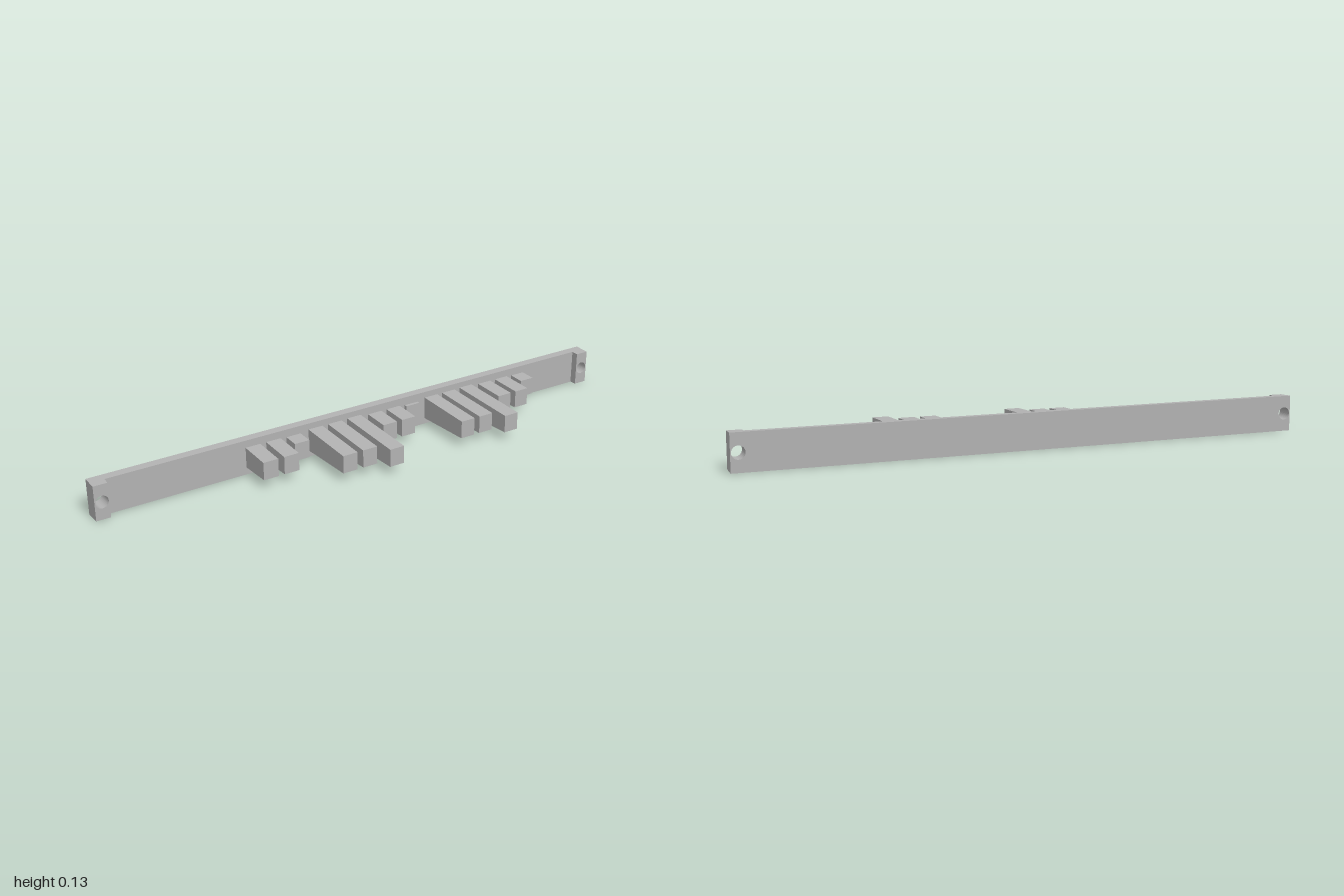
import * as THREE from 'three';

const BACK = -0.149, PLATE_FRONT = -0.118, LUG_FRONT = -0.092;
const MID_Y = 0.064, SLOPE = 0.038;

export function createModel() {
  const group = new THREE.Group();
  const grey = new THREE.MeshStandardMaterial({ color: 0xb2b2b2 });
  grey.name = 'plain grey';

  const add = (name, geometry) => {
    geometry.computeVertexNormals();
    const mesh = new THREE.Mesh(geometry, grey);
    mesh.name = name;
    group.add(mesh);
  };

  // Slab in the xy plane with screw holes; top and bottom draw in towards the front
  const drilledSlab = (x0, x1, z0, z1, holes) => {
    const h = 0.063;
    const shape = new THREE.Shape([[x0, -h], [x1, -h], [x1, h], [x0, h]].map(p => new THREE.Vector2(...p)));
    for (const x of holes) {
      const hole = new THREE.Path();
      hole.absarc(x, 0, 0.022, 0, Math.PI * 2, true);
      shape.holes.push(hole);
    }
    const geo = new THREE.ExtrudeGeometry(shape, { depth: z1 - z0, bevelEnabled: false, curveSegments: 16 });
    geo.translate(0, 0, z0);
    const p = geo.attributes.position;
    for (let i = 0; i < p.count; i++) {
      const y = p.getY(i);
      if (Math.abs(y) > 0.05) p.setY(i, y - Math.sign(y) * SLOPE * (p.getZ(i) - BACK));
    }
    return geo.translate(0, MID_Y, 0);
  };

  // Long backing plate and its end lugs
  add('backPlate', drilledSlab(-1, 1, BACK, PLATE_FRONT, [-0.975, 0.975]));
  add('rightEndLug', drilledSlab(-1, -0.951, PLATE_FRONT, LUG_FRONT, [-0.975]));
  add('leftEndLug', drilledSlab(0.951, 1, PLATE_FRONT, LUG_FRONT, [0.975]));

  // Key bits: five groups of three, each with a fixed tip height widening to the root
  const tips = [
    [0.003, 0.003, -0.061],
    [0.104, 0.104, 0.149],
    [-0.021, -0.021, -0.107],
    [0.104, 0.104, 0.149],
    [0.003, 0.003, -0.061],
  ];
  tips.forEach((set, g) => set.forEach((tip, i) => {
    const length = tip - PLATE_FRONT;
    const geo = new THREE.BoxGeometry(0.055, 0.063, length);
    const p = geo.attributes.position;
    for (let k = 0; k < p.count; k++) {
      if (p.getZ(k) < 0) p.setY(k, p.getY(k) + Math.sign(p.getY(k)) * SLOPE * length);
    }
    geo.translate(-0.433 + 0.24 * g + 0.077 * i, MID_Y, PLATE_FRONT + length / 2);
    add(`bar${g + 1}_${i + 1}`, geo);
  }));

  return group;
}
